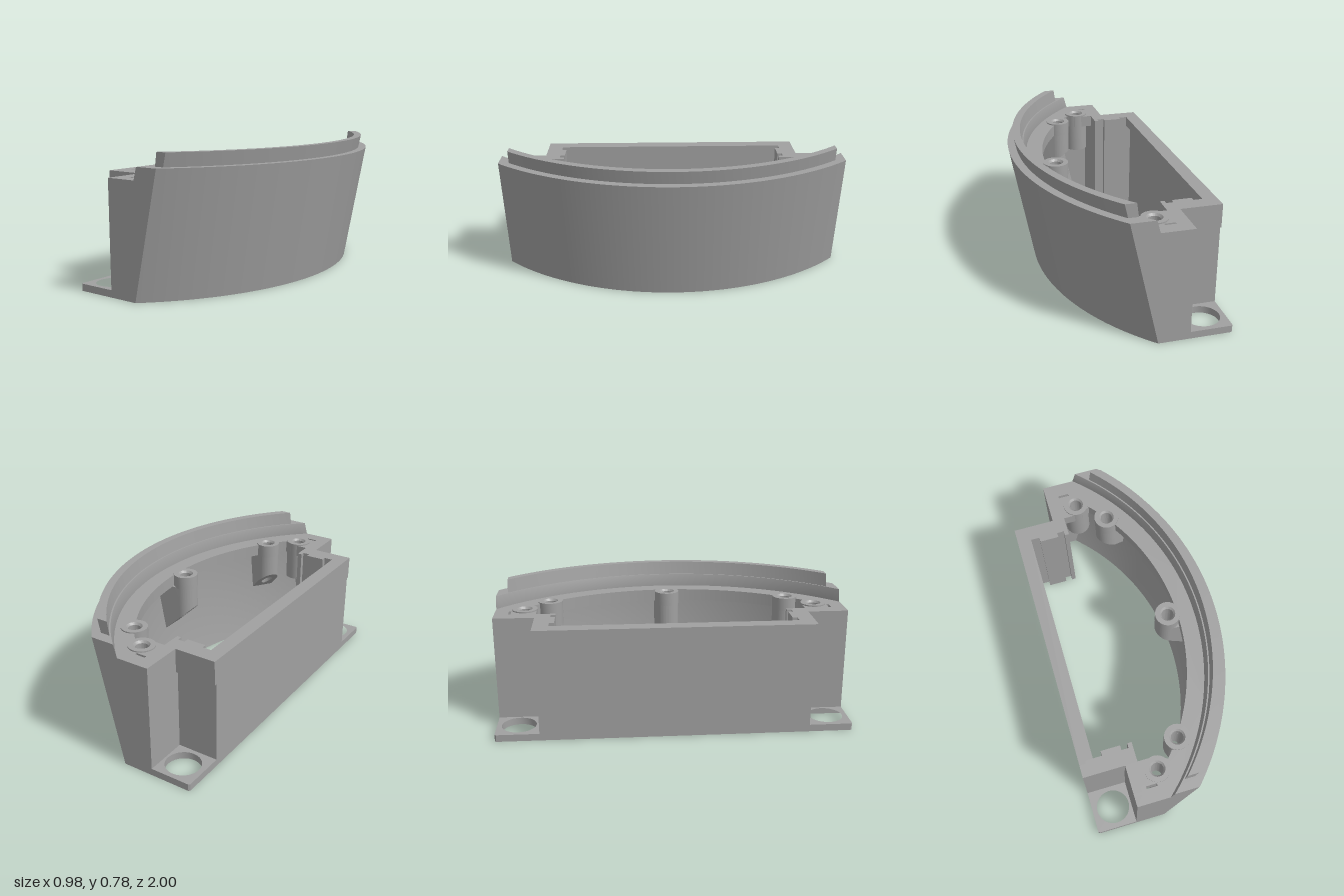
import * as THREE from 'three';
import { toCreasedNormals } from 'three/addons/utils/BufferGeometryUtils.js';

export function createModel() {
  const group = new THREE.Group();
  const grey = new THREE.MeshStandardMaterial({ color: 0xa0a0a0 });

  const add = (name, geometry) => {
    const mesh = new THREE.Mesh(toCreasedNormals(geometry, 0.5), grey);
    mesh.name = name;
    group.add(mesh);
    return mesh;
  };

  // x of an arc of radius r around (c, 0) at a given z
  const arcX = (r, c, z) => c + Math.sqrt(r * r - z * z);

  // Plan outline [x, z] raised from y0 to y1, with optional hole outlines
  const prism = (points, y0, y1, holes = []) => {
    const toPath = (P, pts) => new P(pts.map(([x, z]) => new THREE.Vector2(x, -z)));
    const shape = toPath(THREE.Shape, points);
    shape.holes = holes.map((h) => toPath(THREE.Path, h));
    return new THREE.ExtrudeGeometry(shape, { depth: y1 - y0, bevelEnabled: false })
      .rotateX(-Math.PI / 2).translate(0, y0, 0);
  };
  const circle = (cx, cz, r, n = 40) => Array.from({ length: n }, (_, i) => {
    const a = (i / n) * Math.PI * 2;
    return [cx + r * Math.cos(a), cz + r * Math.sin(a)];
  });
  const rect = (x0, x1, z0, z1) => [[x0, z0], [x1, z0], [x1, z1], [x0, z1]];

  // Bowed solid: section corners [radius, centre x, y] swept from z = -h to h
  const bowed = (section, h, steps = 64) => {
    const n = section.length, pos = [], index = [];
    for (let k = 0; k <= steps; k++) {
      const z = h * (2 * k / steps - 1);
      for (const [r, c, y] of section) pos.push(arcX(r, c, z), y, z);
    }
    for (let k = 0; k < steps; k++) for (let i = 0; i < n; i++) {
      const a = k * n + i, b = k * n + (i + 1) % n;
      index.push(a, b, b + n, a, b + n, a + n);
    }
    const contour = section.map(([r, c, y]) => new THREE.Vector2(arcX(r, c, h), y));
    for (const [a, b, c] of THREE.ShapeUtils.triangulateShape(contour, [])) {
      index.push(a, c, b, a + steps * n, b + steps * n, c + steps * n);
    }
    const g = new THREE.BufferGeometry();
    g.setAttribute('position', new THREE.Float32BufferAttribute(pos, 3));
    g.setIndex(index);
    return g;
  };

  // Leaning curved wall and the raised lip on it
  add('curvedWall', bowed([
    [1.378, -1.028, 0], [1.45, -0.965, 0.705], [1.355, -0.965, 0.705],
    [1.345, -0.97, 0.635], [1.366, -0.977, 0.565], [1.308, -1.028, 0],
  ], 1));
  add('lip', bowed([
    [1.402, -0.965, 0.7], [1.405, -0.95, 0.78], [1.36, -0.95, 0.78], [1.362, -0.965, 0.7],
  ], 0.94));

  // Deck: C-shaped ledge whose opening makes room for the screw bosses
  const wallBosses = [[0.06, -0.7], [0.225, 0], [0.06, 0.7]];
  const cornerBoss = [-0.095, 0.835];
  const deck = [];
  for (let i = 0; i <= 40; i++) {
    const z = 1 - i / 20;
    deck.push([arcX(1.36, -0.97, z), z]);
  }
  deck.push([-0.255, -1], [-0.255, -0.767], [-0.07, -0.767]);
  for (let i = 0; i <= 160; i++) {
    const z = -0.8 + i / 100;
    let x = arcX(1.207, -0.927, z);
    for (const [bx, bz] of wallBosses) {
      const d = 0.0036 - (z - bz) ** 2;
      if (d > 0) x = Math.max(x, bx + Math.sqrt(d));
    }
    deck.push([x, z]);
  }
  deck.push([-0.07, 0.767], [-0.255, 0.767], [-0.255, 1]);
  const deckHoles = [];
  for (const s of [-1, 1]) {
    deckHoles.push(circle(cornerBoss[0], s * cornerBoss[1], 0.05));
    deckHoles.push(rect(-0.18, -0.12, s * 0.915 - 0.007, s * 0.915 + 0.007));
  }
  add('deck', prism(deck, 0.565, 0.635, deckHoles));

  // Flat back wall with an inner ledge along its top
  add('backWall', prism(rect(-0.49, -0.44, -0.7, 0.7), 0, 0.6));
  add('backLedge', prism(rect(-0.49, -0.41, -0.7, 0.7), 0.575, 0.635));

  // Ring on top of each screw boss
  const bossRing = (x, z, bottom) => {
    const profile = [[0.034, bottom], [0.072, bottom], [0.072, 0.642], [0.044, 0.642],
      [0.034, 0.63], [0.034, bottom]].map(([r, y]) => new THREE.Vector2(r, y));
    add('screwBoss', new THREE.LatheGeometry(profile, 40).translate(x, 0, z));
  };

  // Boss lower part, cut on a slant where it grows out of the wall
  const bossWeb = (bx, bz, reach) => {
    const shape = new THREE.Shape();
    shape.moveTo(0.5, 0.07).lineTo(0, 0.07);
    shape.absarc(0, 0, 0.07, Math.PI / 2, Math.PI * 1.5, false);
    shape.lineTo(0.5, -0.07);
    shape.holes.push(new THREE.Path().absarc(0, 0, 0.034, 0, Math.PI * 2, true));
    const g = new THREE.ExtrudeGeometry(shape, { depth: 0.57, bevelEnabled: false, curveSegments: 20 });
    const p = g.attributes.position;
    for (let i = 0; i < p.count; i++) {
      const top = p.getZ(i) > 0.1, end = p.getX(i) > 0.4;
      if (end) p.setX(i, reach + 0.18 * (top ? 0.57 : 0.25));
      p.setZ(i, top ? 0.57 : 0.44 - 0.95 * (p.getX(i) + 0.07));
    }
    g.rotateX(-Math.PI / 2).rotateY(-Math.atan2(bz, bx + 0.97)).translate(bx, 0, bz);
    add('bossWeb', g);
  };
  for (const [x, z] of wallBosses) {
    bossRing(x, z, 0.565);
    bossWeb(x, z, z === 0 ? 0.09 : 0.05);
  }

  // Parts repeated at both ends
  for (const s of [-1, 1]) {
    const flip = (pts) => pts.map(([x, z]) => [x, s * z]);

    // Grooved post, its upper part slightly wider
    const post = (outer) => flip([
      [-0.49, outer], [-0.49, 0.683], [-0.36, 0.683], [-0.36, 0.656], [-0.25, 0.656],
      [-0.25, 0.683], [-0.21, 0.683], [-0.21, 0.656], [-0.185, 0.656], [-0.185, outer],
    ]);
    add('postLower', prism(post(0.755), 0, 0.5));
    add('postUpper', prism(post(0.77), 0.5, 0.635));

    // Short wall beside the open corner
    add('cornerWall', prism(flip(rect(-0.255, -0.185, 0.75, 1)), 0, 0.635));

    // End wall, its outer edge leaning with the curved wall
    const end = new THREE.Shape([[-0.255, 0], [-0.1, 0], [0.04, 0.635], [-0.255, 0.635]]
      .map(([x, y]) => new THREE.Vector2(x, y)));
    add('endWall', new THREE.ExtrudeGeometry(end, { depth: 0.07, bevelEnabled: false })
      .translate(0, 0, s > 0 ? 0.93 : -1));

    // Mounting foot with a round hole
    add('mountingFoot', prism(
      flip([[-0.49, 0.75], [-0.25, 0.75], [-0.25, 1], [-0.482, 1], [-0.49, 0.992]]),
      0, 0.04, [circle(-0.365, s * 0.876, 0.097)]));

    bossRing(cornerBoss[0], s * cornerBoss[1], 0.4);
  }
  return group;
}
